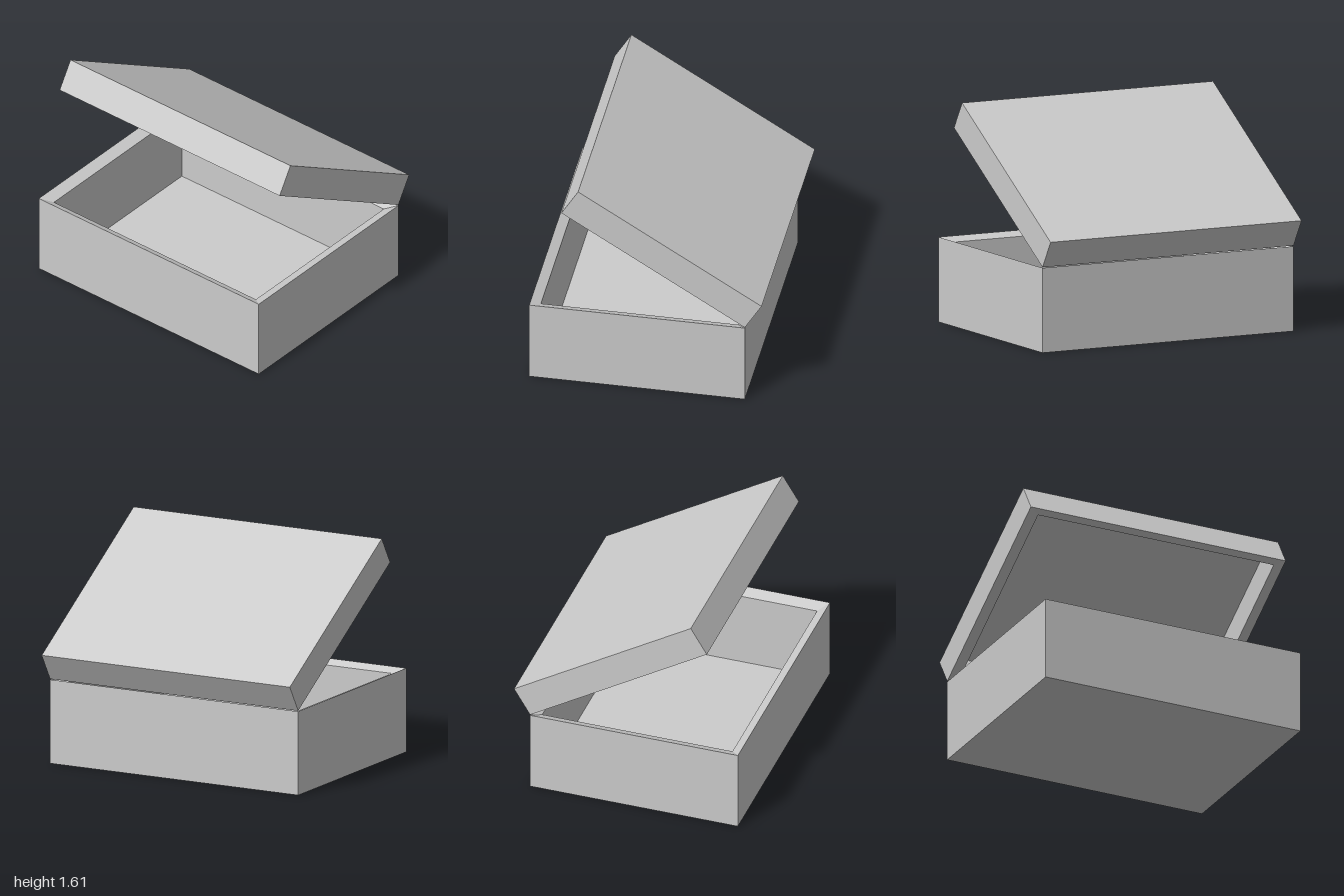
import * as THREE from 'three';

const material = new THREE.MeshStandardMaterial({ color: 0xcccccc, flatShading: true });

// Open tray skinned through rectangular rings [x0, x1, z0, z1, y], running from
// the closed outer face, along the wall, over the rim and down to the inner face.
function trayGeometry(rings, opensDown = false) {
  const corners = rings.map(([x0, x1, z0, z1, y]) => [
    [x0, y, z1], [x1, y, z1], [x1, y, z0], [x0, y, z0],
  ]);
  const positions = [];
  const quad = (a, b, c, d) => {
    const order = opensDown ? [a, c, b, a, d, c] : [a, b, c, a, c, d];
    order.forEach((p) => positions.push(...p));
  };
  const first = corners[0];
  const last = corners[corners.length - 1];
  quad(first[3], first[2], first[1], first[0]);
  for (let r = 0; r < corners.length - 1; r++) {
    for (let i = 0; i < 4; i++) {
      const j = (i + 1) % 4;
      quad(corners[r][i], corners[r][j], corners[r + 1][j], corners[r + 1][i]);
    }
  }
  quad(...last);
  const geometry = new THREE.BufferGeometry();
  geometry.setAttribute('position', new THREE.Float32BufferAttribute(positions, 3));
  geometry.computeVertexNormals();
  return geometry;
}

function part(name, geometry) {
  const mesh = new THREE.Mesh(geometry, material);
  mesh.name = name;
  return mesh;
}

export function createModel() {
  const model = new THREE.Group();
  model.name = 'hingedBox';

  // Base: hollow box whose rim slopes slightly inward
  const outer = [-1, 1, -0.707, 0.833];
  const inner = [-0.918, 0.918, -0.645, 0.765];
  model.add(part('base', trayGeometry([
    [...outer, 0],
    [...outer, 0.603],
    [...inner, 0.57],
    [...inner, 0.015],
  ])));

  // Lid: shallow tray opening downward, swung up about the back edge
  const lidOuter = [-1, 1, 0, 1.537];
  const lidInner = [-0.918, 0.932, 0.072, 1.48];
  const hinge = new THREE.Group();
  hinge.name = 'lidHinge';
  hinge.position.set(0, 0.608, -0.707);
  hinge.rotation.x = THREE.MathUtils.degToRad(-31.55);
  hinge.add(part('lid', trayGeometry([
    [...lidOuter, 0.228],
    [...lidOuter, 0],
    [...lidInner, 0.006],
    [...lidInner, 0.215],
  ], true)));
  model.add(hinge);

  return model;
}
